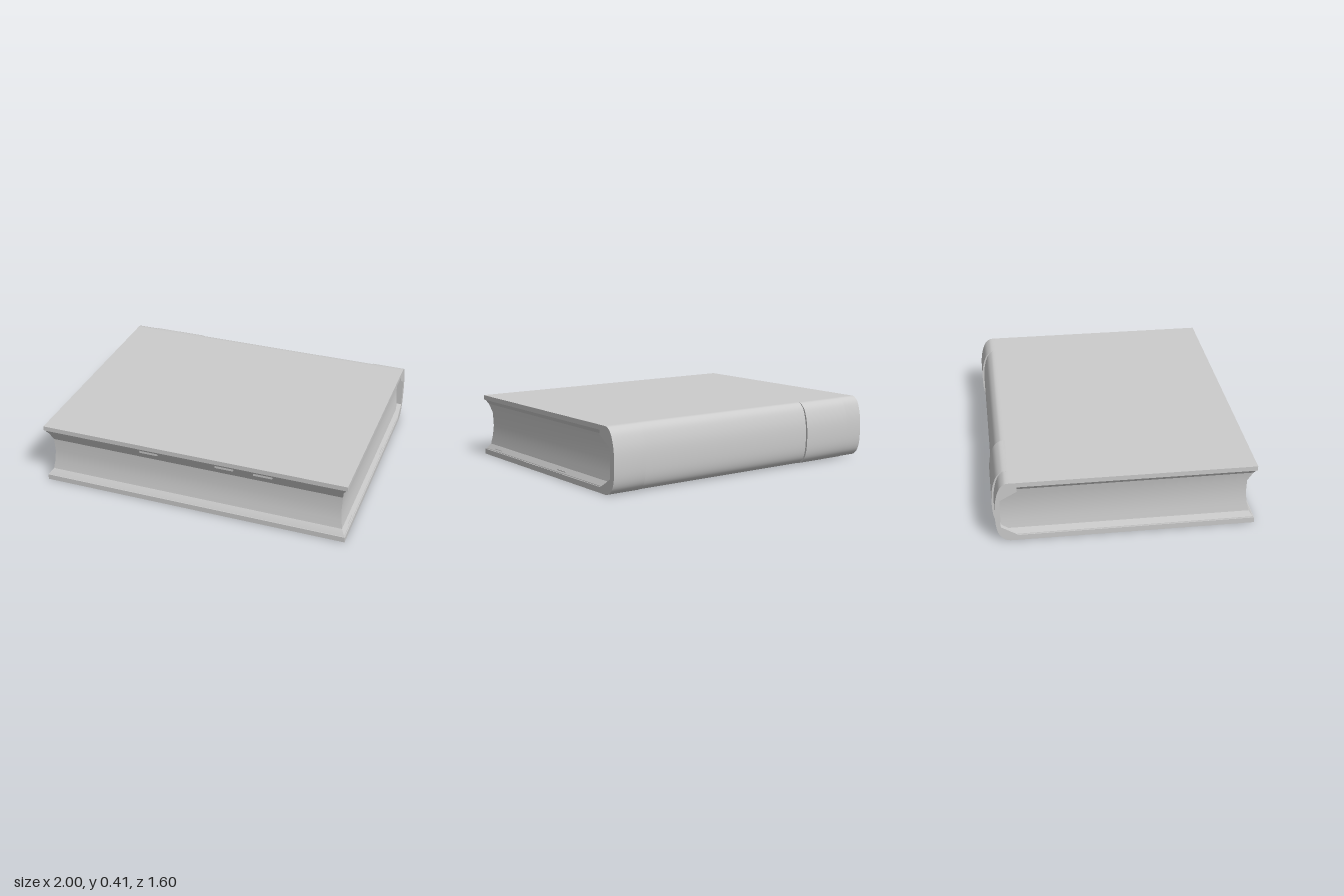
import * as THREE from 'three';
import { toCreasedNormals } from 'three/addons/utils/BufferGeometryUtils.js';

const material = new THREE.MeshStandardMaterial({ color: 0xcccccc, side: THREE.DoubleSide });
const TOP = 0.405, BOARD = 0.03, HINGE = 0.65;

// Rounded back of the spine from top to bottom, in (-z, y)
function spineCurve(depth) {
  const profile = [[0, 1], [0.4, 1], [0.6, 0.975], [0.8, 0.89], [0.95, 0.71], [1, 0.5],
    [0.97, 0.27], [0.85, 0.12], [0.62, 0.03], [0.35, 0], [0, 0]];
  const curve = new THREE.SplineCurve(profile.map(([d, h]) => new THREE.Vector2(HINGE + d * depth, h * TOP)));
  return curve.getPoints(40).map((p) => p.set(p.x, THREE.MathUtils.clamp(p.y, 0, TOP)));
}

// Extrude a (-z, y) outline along x between two positions
function alongX(points, x0, x1) {
  const geometry = new THREE.ExtrudeGeometry(new THREE.Shape(points), { depth: x1 - x0, bevelEnabled: false });
  geometry.rotateY(Math.PI / 2).translate(x0, 0, 0);
  return toCreasedNormals(geometry, 0.5);
}

// Page block lofted from rectangles: [y, half width, front z, back z]
function pageGeometry() {
  const rings = [
    [0.03, 0.995, 0.797, -0.7], [0.04, 0.993, 0.792, -0.7], [0.072, 0.972, 0.768, -0.74],
    [0.13, 0.963, 0.755, -0.76], [0.2, 0.958, 0.747, -0.76], [0.288, 0.962, 0.749, -0.76],
    [0.345, 0.972, 0.782, -0.74], [0.376, 0.993, 0.799, -0.7]];
  const positions = [], index = [];
  for (const [y, w, front, back] of rings) positions.push(-w, y, front, w, y, front, w, y, back, -w, y, back);
  for (let r = 0; r < rings.length - 1; r++) {
    for (let c = 0; c < 4; c++) {
      const a = r * 4 + c, b = r * 4 + (c + 1) % 4;
      index.push(a, b, b + 4, a, b + 4, a + 4);
    }
  }
  const geometry = new THREE.BufferGeometry();
  geometry.setAttribute('position', new THREE.Float32BufferAttribute(positions, 3));
  geometry.setIndex(index);
  return toCreasedNormals(geometry, 0.3);
}

export function createModel() {
  const book = new THREE.Group();
  book.name = 'book';
  const add = (name, geometry) => {
    const mesh = new THREE.Mesh(geometry, material);
    mesh.name = name;
    book.add(mesh);
    return mesh;
  };
  const box = (name, x0, x1, y0, y1, z0, z1) =>
    add(name, new THREE.BoxGeometry(x1 - x0, y1 - y0, z1 - z0))
      .position.set((x0 + x1) / 2, (y0 + y1) / 2, (z0 + z1) / 2);

  // Two boards and the spine as one wrapped cover, hollow towards the pages
  const v = (u, y) => new THREE.Vector2(u, y);
  add('cover', alongX([
    v(-0.8, TOP), ...spineCurve(0.137), v(-0.8, 0), v(-0.8, BOARD + 0.005),
    v(0.65, BOARD + 0.005), v(0.755, 0.1), v(0.755, 0.287), v(0.65, 0.345), v(0.65, TOP - BOARD), v(-0.8, TOP - BOARD),
  ], -1, 1));

  // Slightly raised bands on the spine
  for (const [x0, x1] of [[-0.86, -0.5], [0.78, 1]]) {
    add('spineBand', alongX([...spineCurve(0.15), ...spineCurve(0.12).slice(1, -1).reverse()], x0, x1));
  }

  add('pages', pageGeometry());

  // Small tabs under the front lip of the upper board
  for (const x of [-0.28, 0.22, 0.47]) box('frontTab', x - 0.06, x + 0.06, 0.345, 0.378, 0.74, 0.79);

  // Small tabs above the side lip of the lower board
  for (const z of [0.63, -0.19]) box('sideTab', 0.94, 0.988, 0.033, 0.052, z - 0.05, z + 0.05);
  return book;
}
